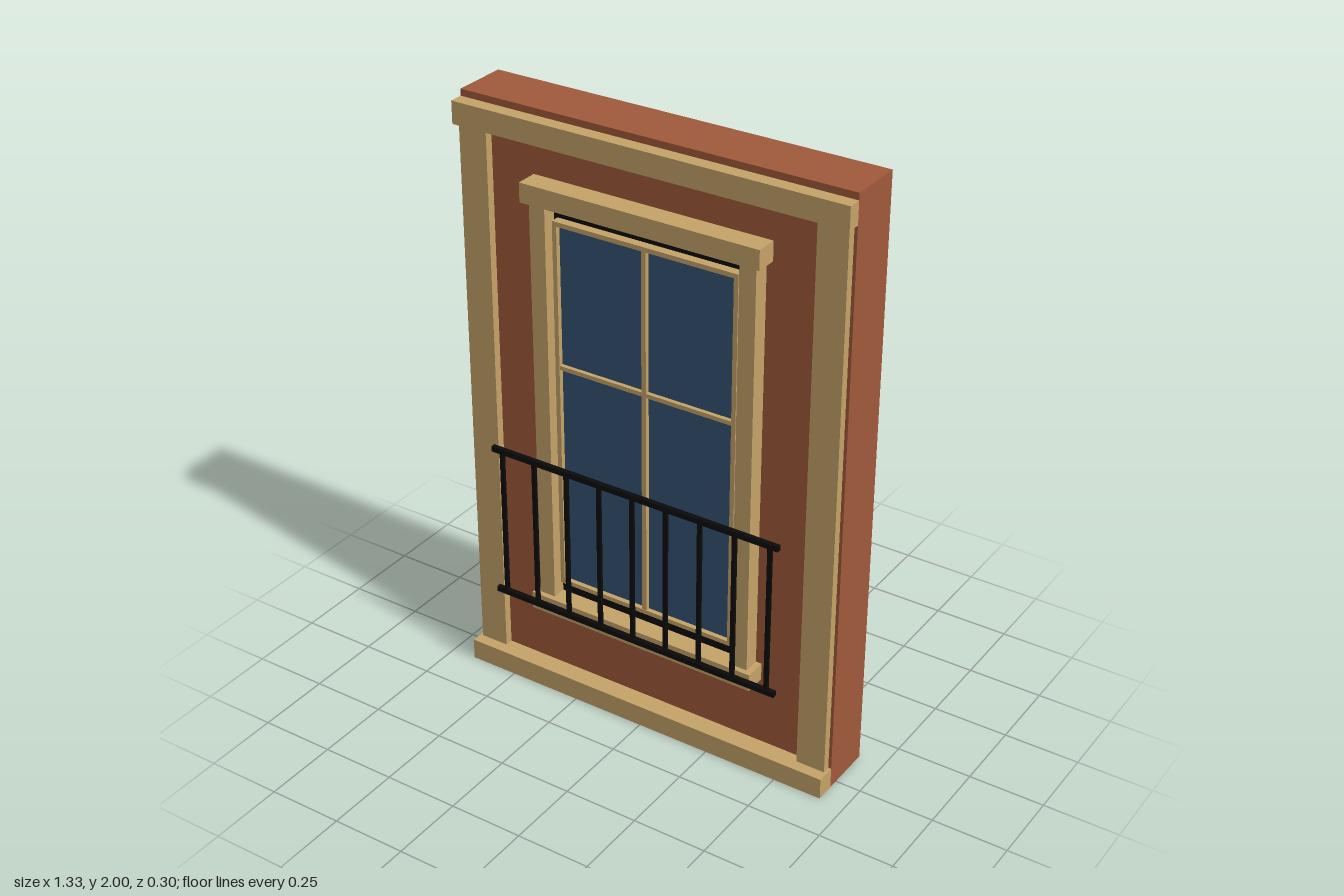
import * as THREE from 'three';

const material = (name, color) => {
  const m = new THREE.MeshStandardMaterial({ color });
  m.name = name;
  return m;
};

export function createModel() {
  const brick = material('brick', 0xa15a3b);
  const stone = material('sandstone', 0xc6a468);
  const glass = material('glass', 0x365375);
  const iron = material('black iron', 0x0b0b0b);

  const model = new THREE.Group();
  model.name = 'windowWall';

  // Box given by its limits on each axis
  const box = (parent, name, mat, [x0, x1], [y0, y1], [z0, z1]) => {
    const mesh = new THREE.Mesh(new THREE.BoxGeometry(x1 - x0, y1 - y0, z1 - z0), mat);
    mesh.position.set((x0 + x1) / 2, (y0 + y1) / 2, (z0 + z1) / 2);
    mesh.name = name;
    parent.add(mesh);
  };
  const group = (name) => {
    const g = new THREE.Group();
    g.name = name;
    model.add(g);
    return g;
  };
  const W = 0.665, FACE = 0.035;

  box(model, 'wall', brick, [-W, W], [0, 2], [-0.148, FACE]);

  // Stone border of the wall
  const border = group('border');
  box(border, 'plinth', stone, [-W, W], [0, 0.072], [FACE, 0.1]);
  box(border, 'cornice', stone, [-W, W], [1.905, 1.978], [FACE, 0.08]);
  box(border, 'leftPilaster', stone, [0.557, 0.655], [0.072, 1.905], [FACE, 0.062]);
  box(border, 'rightPilaster', stone, [-0.655, -0.557], [0.072, 1.905], [FACE, 0.062]);

  // Stone window surround
  const surround = group('surround');
  box(surround, 'lintel', stone, [-0.407, 0.407], [1.73, 1.793], [FACE, 0.108]);
  box(surround, 'sill', stone, [-0.407, 0.407], [0.307, 0.366], [FACE, 0.108]);
  box(surround, 'leftJamb', stone, [0.332, 0.387], [0.366, 1.73], [FACE, 0.09]);
  box(surround, 'rightJamb', stone, [-0.387, -0.332], [0.366, 1.73], [FACE, 0.09]);

  // Dark backing, glass, sash frame and glazing bars
  const win = group('window');
  const X = 0.319, Y0 = 0.416, Y1 = 1.68, B = 0.015, Z = [0.043, 0.072];
  box(win, 'backing', iron, [-0.332, 0.332], [0.366, 1.73], [FACE, 0.043]);
  box(win, 'pane', glass, [-X + B, X - B], [Y0 + B, Y1 - B], [0.043, 0.056]);
  for (const [name, x] of [['leftStile', X - B / 2], ['rightStile', B / 2 - X]])
    box(win, name, stone, [x - B / 2, x + B / 2], [Y0, Y1], Z);
  for (const [name, y] of [['topRail', Y1 - B / 2], ['bottomRail', Y0 + B / 2]])
    box(win, name, stone, [B - X, X - B], [y - B / 2, y + B / 2], Z);
  box(win, 'verticalBar', stone, [-0.008, 0.008], [Y0 + B, Y1 - B], [0.056, 0.071]);
  box(win, 'horizontalBar', stone, [B - X, X - B], [1.19, 1.204], [0.056, 0.07]);

  // Iron balcony railing
  const railing = group('railing');
  for (const [name, y] of [['upperHandrail', 0.883], ['lowerHandrail', 0.361]])
    box(railing, name, iron, [-0.517, 0.517], [y - 0.009, y + 0.009], [0.133, 0.149]);
  for (let i = 0; i < 9; i++) {
    const x = -0.481 + i * 0.121;
    box(railing, 'baluster', iron, [x - 0.007, x + 0.007], [0.361, 0.883], [0.136, 0.146]);
  }

  return model;
}
